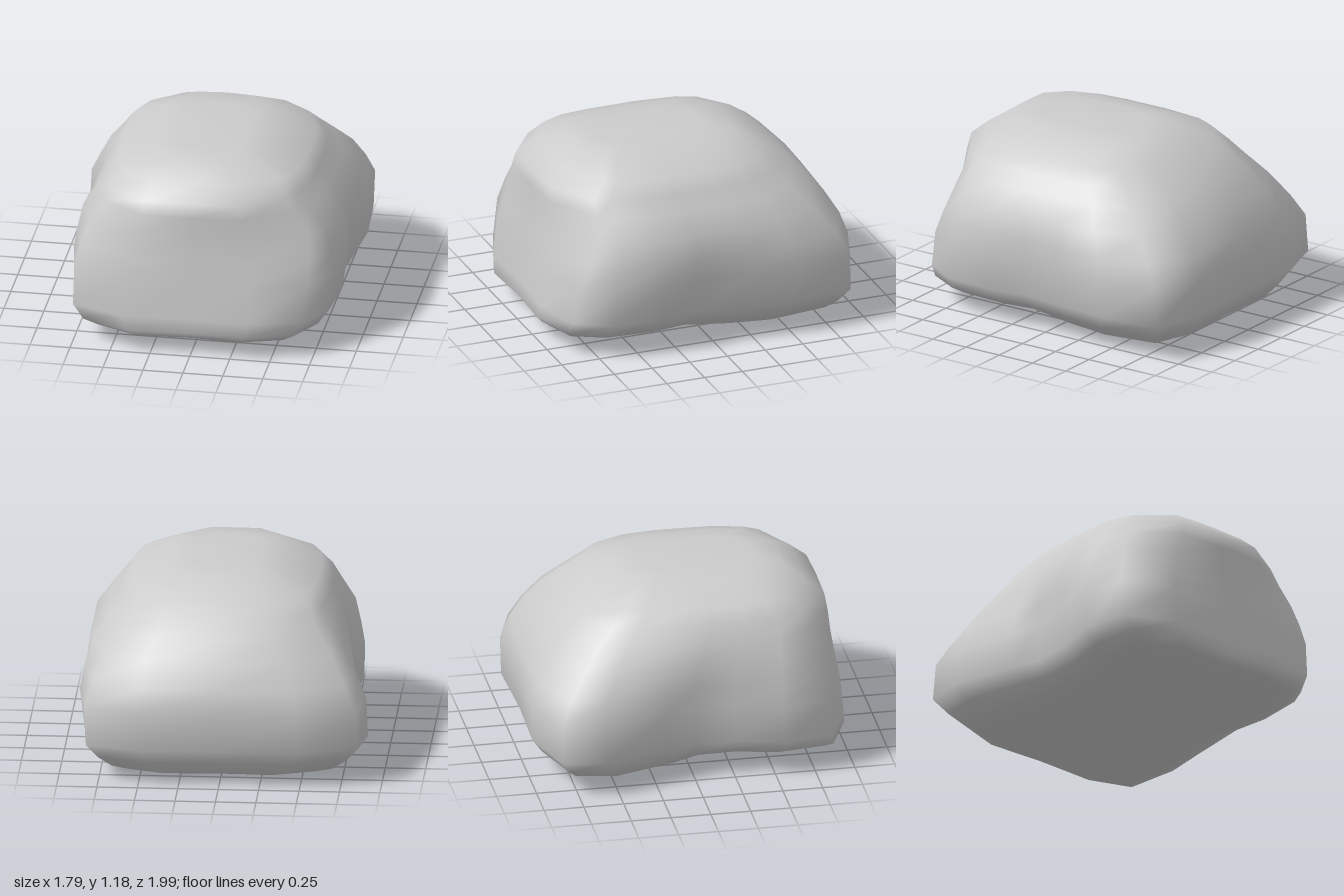
import * as THREE from 'three';

const { lerp, smoothstep } = THREE.MathUtils;

// Plan outline in unit size, from the front centre round by +x, with a pinched waist at -x
const PLAN = [
  [0, 0.98], [0.42, 1], [0.8, 0.91], [0.95, 0.69], [0.98, 0.36], [0.94, 0.12], [0.97, -0.2],
  [1, -0.5], [0.96, -0.9], [0.58, -1], [0, -0.98], [-0.54, -0.99], [-0.95, -0.87], [-1, -0.6],
  [-0.86, -0.17], [-0.8, 0], [-0.81, 0.25], [-0.89, 0.55], [-0.84, 0.87], [-0.48, 1],
];

// Horizontal slices: height, width to -x, width to +x, back z, front z
const SLICES = [
  [0, 0, 0, -0.2, -0.2],
  [0.005, 0.38, 0.4, -0.55, 0.5],
  [0.025, 0.6, 0.6, -0.8, 0.78],
  [0.06, 0.72, 0.7, -0.86, 0.95],
  [0.14, 0.82, 0.79, -0.92, 1],
  [0.24, 0.9, 0.86, -0.985, 0.99],
  [0.48, 0.9, 0.895, -1, 0.98],
  [0.62, 0.85, 0.88, -0.965, 0.97],
  [0.77, 0.79, 0.85, -0.89, 0.96],
  [0.9, 0.7, 0.75, -0.79, 0.95],
  [0.99, 0.64, 0.67, -0.69, 0.93],
  [1.08, 0.57, 0.61, -0.56, 0.81],
  [1.17, 0.33, 0.37, -0.39, 0.67],
  [1.185, 0.2, 0.24, -0.2, 0.5],
  [1.19, 0, 0, 0.15, 0.15],
];

function boulderGeometry() {
  const positions = [], index = [], n = PLAN.length, last = SLICES.length - 2;
  for (const [y, left, right, back, front] of SLICES) {
    const centre = (front + back) / 2, half = (front - back) / 2;
    // Towards the top the waist fills out and the corners grow rounder
    const fill = 0.9 * smoothstep(y, 0.4, 1);
    const rounding = smoothstep(y, 0.3, 0.95);
    // The front face is hollowed, more so towards +x
    const hollow = 0.06 * Math.exp(-(((y - 0.75) / 0.3) ** 2));
    for (const [px, pz] of PLAN) {
      const u = Math.abs(px) > 0.78 ? lerp(px, Math.sign(px), fill) : px;
      const radius = Math.cbrt(Math.abs(u) ** 3 + Math.abs(pz) ** 3);
      const shrink = lerp(1, 1 / Math.max(1, radius), rounding);
      const x = u * shrink * (px < 0 ? left : right);
      const z = centre + half * pz * shrink - hollow * (0.5 + 0.5 * px) * smoothstep(pz, 0.6, 0.95);
      // The underside rises gently at the front and back
      const lift = 0.05 * smoothstep(z, -0.3, 0.15) + 0.015 * smoothstep(-z, 0.3, 0.85);
      positions.push(x, y + lift * (1 - smoothstep(y, 0, 0.2)), z);
    }
  }
  // Quads between slices, single triangles at the two poles
  for (let j = 0; j <= last; j++) {
    for (let i = 0; i < n; i++) {
      const a = j * n + i, b = j * n + (i + 1) % n, c = a + n, d = b + n;
      if (j > 0) index.push(a, b, d);
      if (j < last) index.push(a, d, c);
    }
  }
  const geometry = new THREE.BufferGeometry();
  geometry.setAttribute('position', new THREE.Float32BufferAttribute(positions, 3));
  geometry.setIndex(index);
  geometry.computeVertexNormals();
  return geometry;
}

export function createModel() {
  const group = new THREE.Group();
  group.name = 'rock';
  const boulder = new THREE.Mesh(boulderGeometry(), new THREE.MeshStandardMaterial({ color: 0xcccccc }));
  boulder.name = 'boulder';
  group.add(boulder);
  return group;
}
